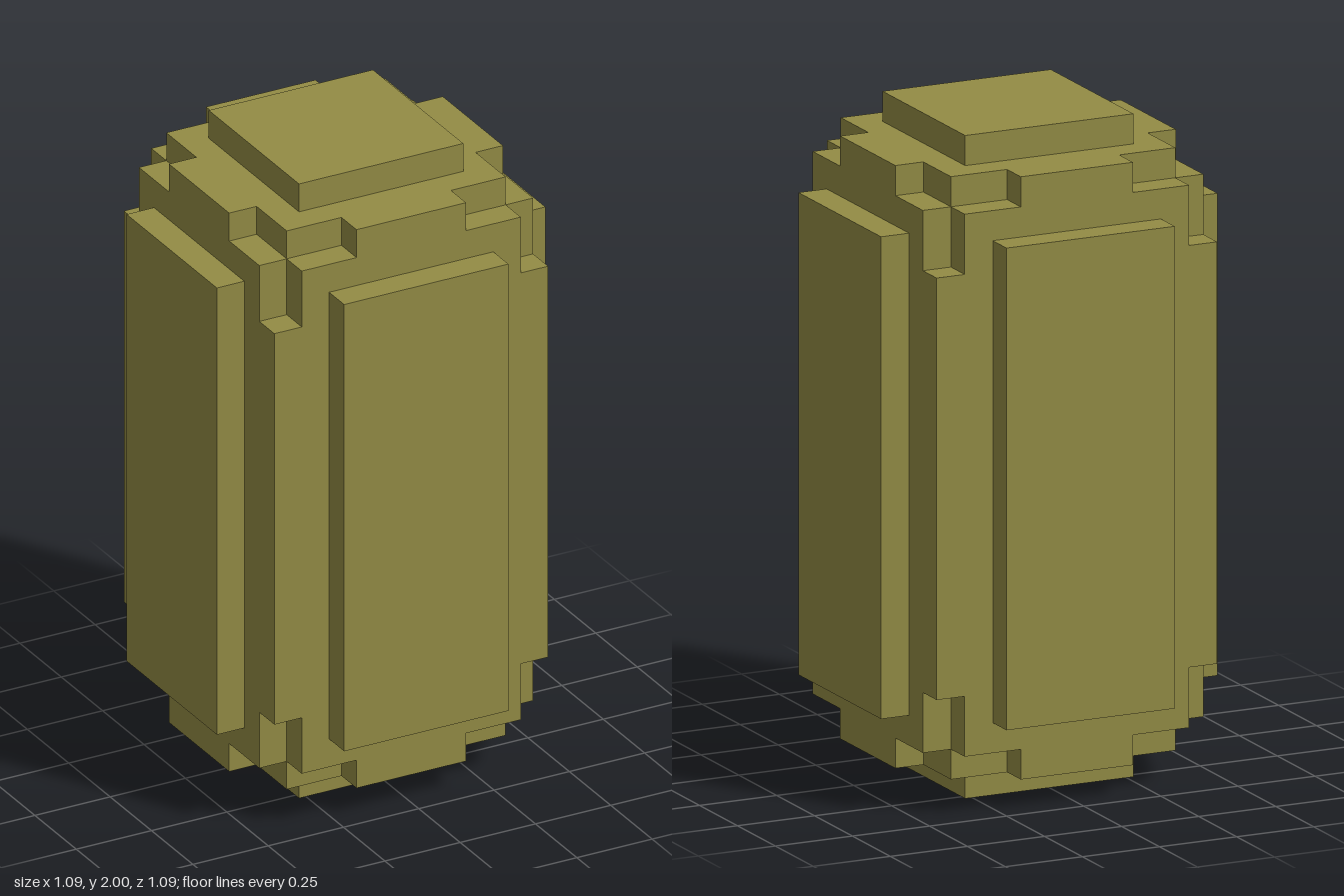
import * as THREE from 'three';

const U = 1 / 11; // block unit: the model is 22 units tall and 12 wide

// Prism of the given depth, centred on the origin, with notched corners
function notchedPrism(halfW, halfH, depth) {
  const corner = [
    [halfW, halfH - 3], [halfW - 1, halfH - 3], [halfW - 1, halfH - 1],
    [halfW - 3, halfH - 1], [halfW - 3, halfH],
  ];
  const flipped = [...corner].reverse();
  const outline = [
    ...corner,
    ...flipped.map(([x, y]) => [-x, y]),
    ...corner.map(([x, y]) => [-x, -y]),
    ...flipped.map(([x, y]) => [x, -y]),
  ];
  const shape = new THREE.Shape(outline.map(([x, y]) => new THREE.Vector2(x * U, y * U)));
  const geometry = new THREE.ExtrudeGeometry(shape, { depth: depth * U, bevelEnabled: false });
  return geometry.translate(0, 0, -depth * U / 2);
}

export function createModel() {
  const model = new THREE.Group();
  model.name = 'blockBarrel';
  const olive = new THREE.MeshStandardMaterial({ color: 0x938c45 });
  olive.name = 'olive';

  const add = (name, geometry, x = 0, y = 0, z = 0) => {
    const mesh = new THREE.Mesh(geometry, olive);
    mesh.name = name;
    mesh.position.set(x * U, (y + 11) * U, z * U);
    model.add(mesh);
  };

  // Core: three crossing prisms leave a three-armed notch at every corner
  add('coreFrontToBack', notchedPrism(5, 10, 10));
  add('coreSideToSide', notchedPrism(5, 10, 10).rotateY(Math.PI / 2));
  add('coreUpright', notchedPrism(5, 5, 20).rotateX(Math.PI / 2));

  // Raised panels on all six faces
  for (const s of [1, -1]) {
    add(s > 0 ? 'leftPanel' : 'rightPanel', new THREE.BoxGeometry(U, 16 * U, 6 * U), s * 5.5, 0, 0);
    add(s > 0 ? 'frontPanel' : 'backPanel', new THREE.BoxGeometry(6 * U, 16 * U, U), 0, 0, s * 5.5);
    add(s > 0 ? 'topPanel' : 'bottomPanel', new THREE.BoxGeometry(6 * U, U, 6 * U), 0, s * 10.5, 0);
  }
  return model;
}
